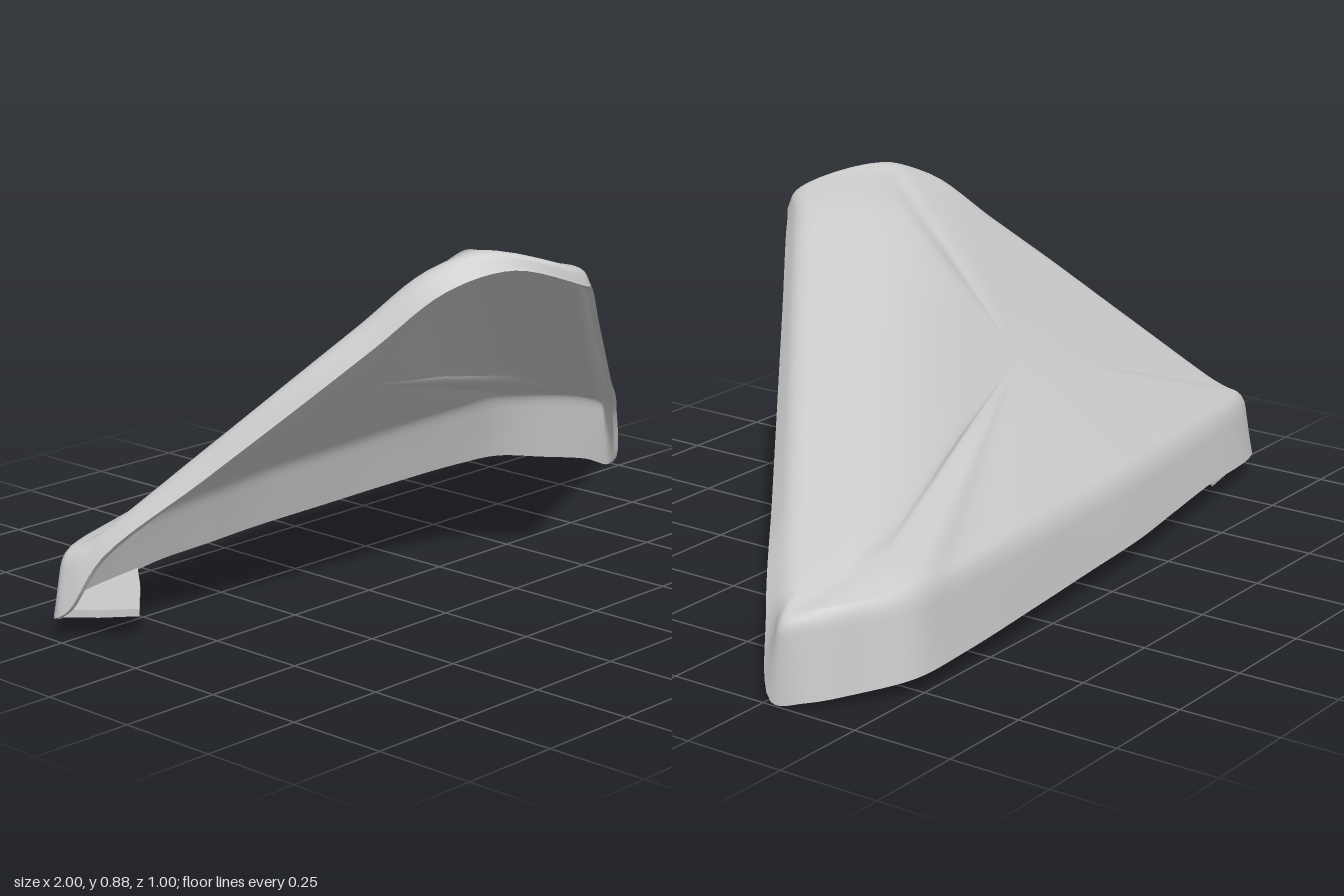
import * as THREE from 'three';

const V = (a) => new THREE.Vector3(...a);
const CENTRE = V([-0.15, 0.475, -0.12]);
const THICKNESS = 0.015;

// Stations round the cover: [shoulder, free edge, optional crease on the top panel]
const STATIONS = [
  // front tip and start of the right-hand side
  [[-0.06, 0.832, 0.49], [-0.05, 0.787, 0.5], [-0.2, 0.866, 0.3]],
  [[0.02, 0.812, 0.42], [0.02, 0.768, 0.457], [-0.1, 0.81, 0.2]],
  // bevelled right corner
  [[0.915, 0.237, -0.255], [0.93, 0.185, -0.205], [0.62, 0.325, -0.335]],
  [[0.982, 0.195, -0.285], [0.998, 0.003, -0.27], [0.69, 0.285, -0.365]],
  [[0.945, 0.203, -0.335], [0.972, 0.01, -0.345], [0.71, 0.268, -0.39]],
  [[0.85, 0.21, -0.408], [0.88, 0.02, -0.42], [0.7, 0.258, -0.415]],
  [[0.735, 0.217, -0.464], [0.77, 0.034, -0.49], [0.64, 0.26, -0.428]],
  // back skirt
  [[0.6, 0.217, -0.468], [0.6, 0.042, -0.5]],
  [[0.3, 0.217, -0.455], [0.3, 0.05, -0.485]],
  [[-0.2, 0.217, -0.42], [-0.2, 0.06, -0.45]],
  [[-0.6, 0.212, -0.365], [-0.6, 0.07, -0.395]],
  // left corner
  [[-0.9, 0.205, -0.31], [-0.93, 0.05, -0.33]],
  [[-0.968, 0.205, -0.275], [-0.998, 0.05, -0.275]],
  [[-0.96, 0.215, -0.245], [-0.99, 0.075, -0.235]],
  [[-0.915, 0.255, -0.205], [-0.935, 0.2, -0.178]],
  // left-hand side up to the peak
  [[-0.6, 0.595, 0.078], [-0.59, 0.545, 0.122]],
  [[-0.34, 0.85, 0.28], [-0.335, 0.795, 0.33]],
  [[-0.23, 0.882, 0.37], [-0.2, 0.835, 0.415], [-0.25, 0.872, 0.3]],
];

// Long straight sides get evenly spaced stations in between
function fillStations() {
  const base = STATIONS.map(([s, e, c]) => [V(s), V(e), c ? V(c) : V(s).lerp(CENTRE, 0.16)]);
  return base.flatMap((station, i) => {
    const next = base[(i + 1) % base.length];
    const pieces = Math.ceil(station[0].distanceTo(next[0]) / 0.4);
    return Array.from({ length: pieces }, (_, k) =>
      station.map((p, j) => p.clone().lerp(next[j], k / pieces)));
  });
}

// Cross-section from the panel over a rounded shoulder to the free edge
function section(P, S, B) {
  const toward = (Q) => S.clone().lerp(Q, Math.min(0.45, 0.04 / S.distanceTo(Q)));
  const bend = new THREE.QuadraticBezierCurve3(toward(P), S, toward(B));
  return [P, P.clone().lerp(S, 0.4), ...bend.getPoints(4), toward(B).lerp(B, 0.5), B];
}

function makeGeometry(positions, index) {
  const g = new THREE.BufferGeometry();
  g.setAttribute('position', new THREE.Float32BufferAttribute(positions, 3));
  g.setIndex(index);
  g.computeVertexNormals();
  return g;
}

function buildShell() {
  const stations = fillStations();
  const [shoulder, edge, crease] = [0, 1, 2].map((j) =>
    new THREE.CatmullRomCurve3(stations.map((s) => s[j]), true, 'centripetal'));
  const n = stations.length * 6;
  const points = [CENTRE];
  let rows = 0;
  for (let i = 0; i < n; i++) {
    const t = i / n;
    const P = crease.getPoint(t);
    const inner = CENTRE.clone().lerp(P, 0.5);
    inner.y += 0.005;
    const ring = [inner, ...section(P, shoulder.getPoint(t), edge.getPoint(t))];
    rows = ring.length;
    points.push(...ring);
  }
  const id = (i, r) => 1 + (i % n) * rows + r;
  const index = [];
  for (let i = 0; i < n; i++) {
    index.push(0, id(i, 0), id(i + 1, 0));
    for (let r = 0; r < rows - 1; r++) {
      const a = id(i, r), b = id(i, r + 1), c = id(i + 1, r + 1), d = id(i + 1, r);
      index.push(a, b, c, a, c, d);
    }
  }
  const outer = makeGeometry(points.flatMap((p) => p.toArray()), index);

  // inner skin follows the outer one at a constant wall thickness
  const normals = outer.attributes.normal;
  const inside = points.map((p, i) =>
    p.clone().addScaledVector(new THREE.Vector3().fromBufferAttribute(normals, i), -THICKNESS));
  const reversed = [];
  for (let i = 0; i < index.length; i += 3) reversed.push(index[i], index[i + 2], index[i + 1]);
  const inner = makeGeometry(inside.flatMap((p) => p.toArray()), reversed);

  // narrow rim joining both skins
  const rimPoints = [], rimIndex = [];
  for (let i = 0; i < n; i++) {
    const k = id(i, rows - 1), a = 2 * i, b = 2 * ((i + 1) % n);
    rimPoints.push(...points[k].toArray(), ...inside[k].toArray());
    rimIndex.push(a, a + 1, b + 1, a, b + 1, b);
  }
  return { outerSkin: outer, innerSkin: inner, rim: makeGeometry(rimPoints, rimIndex) };
}

export function createModel() {
  const model = new THREE.Group();
  model.name = 'triangularCover';
  const grey = new THREE.MeshStandardMaterial({ color: 0xc8c8c8, side: THREE.DoubleSide });
  grey.name = 'light grey';

  const add = (name, geometry) => {
    const mesh = new THREE.Mesh(geometry, grey);
    mesh.name = name;
    model.add(mesh);
    return mesh;
  };
  for (const [name, geometry] of Object.entries(buildShell())) add(name, geometry);

  // small turned-in lip under the left corner (shape y becomes -z)
  const lip = new THREE.Shape([
    [-0.985, 0.265], [-0.92, 0.325], [-0.65, 0.38], [-0.74, 0.27], [-0.86, 0.14], [-0.93, 0.2],
  ].map(([x, y]) => new THREE.Vector2(x, y)));
  const lipMesh = add('cornerLip', new THREE.ExtrudeGeometry(lip, { depth: 0.018, bevelEnabled: false }));
  lipMesh.rotation.x = -Math.PI / 2;
  lipMesh.position.y = 0.052;
  return model;
}
